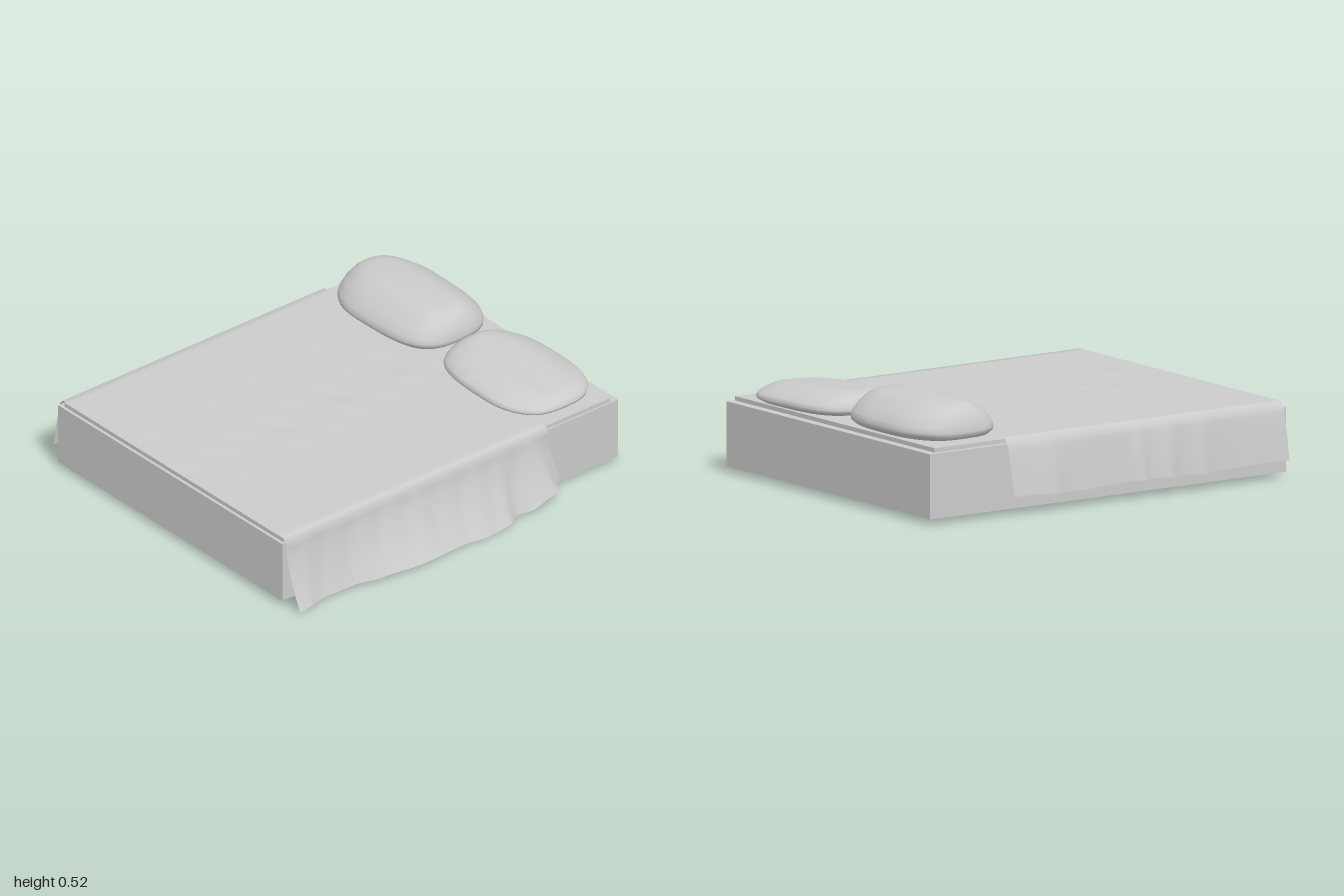
import * as THREE from 'three';

const material = new THREE.MeshStandardMaterial({ color: 0xcccccc });
const clothMaterial = new THREE.MeshStandardMaterial({ color: 0xcccccc, side: THREE.DoubleSide });

// Box given by its limits on each axis
function box(name, [x0, x1], [y0, y1], [z0, z1]) {
  const mesh = new THREE.Mesh(new THREE.BoxGeometry(x1 - x0, y1 - y0, z1 - z0), material);
  mesh.position.set((x0 + x1) / 2, (y0 + y1) / 2, (z0 + z1) / 2);
  mesh.name = name;
  return mesh;
}

// Smooth interpolation through [key, value] pairs
function sample(table, k) {
  if (k <= table[0][0]) return table[0][1];
  for (let i = 1; i < table.length; i++) {
    const [k0, v0] = table[i - 1], [k1, v1] = table[i];
    if (k <= k1) return THREE.MathUtils.lerp(v0, v1, THREE.MathUtils.smoothstep(k, k0, k1));
  }
  return table[table.length - 1][1];
}

// Hem of each hanging side: outward x and height y, along z
const rightHemX = [[-0.57, 0.79], [-0.5, 0.86], [-0.4, 0.87], [-0.33, 0.845], [-0.25, 0.885], [-0.1, 0.9],
  [0, 0.89], [0.3, 0.905], [0.5, 0.885], [0.65, 0.85], [0.8, 0.84], [0.985, 0.87]];
const rightHemY = [[-0.57, 0.07], [-0.5, 0.05], [-0.33, 0.012], [-0.2, 0.005], [0.1, 0.015], [0.5, 0.022], [0.985, 0.012]];
const leftHemX = [[-0.57, -0.9], [-0.35, -0.91], [-0.25, -0.89], [0.08, -0.885], [0.15, -0.91], [0.22, -0.89],
  [0.3, -0.91], [0.4, -0.88], [0.5, -0.9], [0.6, -0.88], [0.985, -0.89]];

// Blanket: one sheet running from the left hem over the top to the right hem
function makeBlanket() {
  const side = 12, top = 40, cols = side * 2 + top, rows = 90;
  const geometry = new THREE.PlaneGeometry(1, 1, cols, rows);
  const pos = geometry.attributes.position;
  for (let r = 0; r <= rows; r++) {
    const z0 = -0.57 + 1.555 * r / rows;
    for (let c = 0; c <= cols; c++) {
      let x, y, z = z0;
      if (c < side) {
        const t = 1 - c / (side - 1);
        x = -0.845 + (sample(leftHemX, z0) + 0.845) * Math.pow(t, 0.85);
        y = 0.335 + (0.09 + 0.006 * Math.sin(z0 * 9) - 0.335) * t;
      } else if (c > side + top) {
        const t = (c - side - top - 1) / (side - 1);
        x = 0.768 + (sample(rightHemX, z0) - 0.768) * Math.pow(t, 1.6);
        x += 0.004 * Math.sin(z0 * 38) * t * (1 - t) * 4;
        y = 0.335 + (sample(rightHemY, z0) - 0.335) * t;
        // Back corner sweeps towards the head
        z -= 0.055 * Math.pow(t, 1.5) * THREE.MathUtils.smoothstep(-z0, 0.25, 0.57);
      } else {
        const u = (c - side) / top;
        x = -0.825 + 1.58 * u;
        y = 0.359 + Math.sin(u * Math.PI) * (0.0015 * Math.sin(x * 17 + z * 6) * Math.cos(z * 9 - x * 4)
          + 0.001 * Math.sin(z * 31 + 4 * Math.sin(x * 7)));
      }
      pos.setXYZ(r * (cols + 1) + c, x, y, z);
    }
  }
  geometry.computeVertexNormals();
  const mesh = new THREE.Mesh(geometry, clothMaterial);
  mesh.name = 'blanket';
  return mesh;
}

// Pillow rings from bottom to top: width scale, depth scale, height
const pillowRings = [[0, 0, 0], [0.5, 0.45, 0], [0.85, 0.76, 0], [0.95, 0.91, 0.01], [1, 0.985, 0.028], [1, 1, 0.045],
  [0.99, 0.96, 0.07], [0.96, 0.81, 0.107], [0.89, 0.6, 0.145], [0.82, 0.45, 0.161], [0.7, 0.32, 0.168],
  [0.4, 0.17, 0.17], [0, 0, 0.171]];

function makePillow(name, cx, halfX, shape) {
  const n = 56, rows = pillowRings.length - 1, halfZ = 0.253, cz = -0.733;
  const positions = [], index = [];
  const rounded = v => Math.sign(v) * Math.pow(Math.abs(v), 0.7);
  pillowRings.forEach(([sx, sz, h]) => {
    for (let i = 0; i < n; i++) {
      const a = i / n * Math.PI * 2;
      const u = rounded(Math.cos(a)) * sx, w = rounded(Math.sin(a)) * sz;
      // Slight waviness of the seam
      const wave = 1 + 0.012 * Math.sin(a * 5 + cx * 4);
      positions.push(cx + u * halfX, 0.355 + shape(u, w, h), cz + w * halfZ * wave);
    }
  });
  for (let r = 0; r < rows; r++) {
    for (let i = 0; i < n; i++) {
      const a = r * n + i, b = r * n + (i + 1) % n;
      if (r > 0) index.push(a, a + n, b);
      if (r < rows - 1) index.push(b, a + n, b + n);
    }
  }
  const geometry = new THREE.BufferGeometry();
  geometry.setAttribute('position', new THREE.Float32BufferAttribute(positions, 3));
  geometry.setIndex(index);
  geometry.computeVertexNormals();
  const mesh = new THREE.Mesh(geometry, material);
  mesh.name = name;
  return mesh;
}

export function createModel() {
  const bed = new THREE.Group();
  bed.name = 'bed';

  // Solid base and thin mattress top
  bed.add(box('base', [-0.84, 0.76], [0.03, 0.333], [-1, 1]));
  bed.add(box('mattressTop', [-0.812, 0.752], [0.333, 0.353], [-0.957, 0.985]));

  bed.add(makeBlanket());

  // Full pillow
  bed.add(makePillow('rightPillow', -0.405, 0.362, (u, w, h) => h * (1 - 0.06 * Math.abs(u) ** 3)));
  // Flatter pillow, sinking towards its outer end and along the middle
  bed.add(makePillow('leftPillow', 0.35, 0.352, (u, w, h) => {
    const dent = 0.012 * Math.exp(-(((w - 0.1) / 0.22) ** 2)) * (1 - u * u);
    return h * (0.5 - 0.12 * u) - dent * THREE.MathUtils.smoothstep(h, 0.05, 0.15)
      + 0.015 * THREE.MathUtils.smoothstep(h, 0, 0.07) * (1 - 0.6 * u * u);
  }));

  return bed;
}
